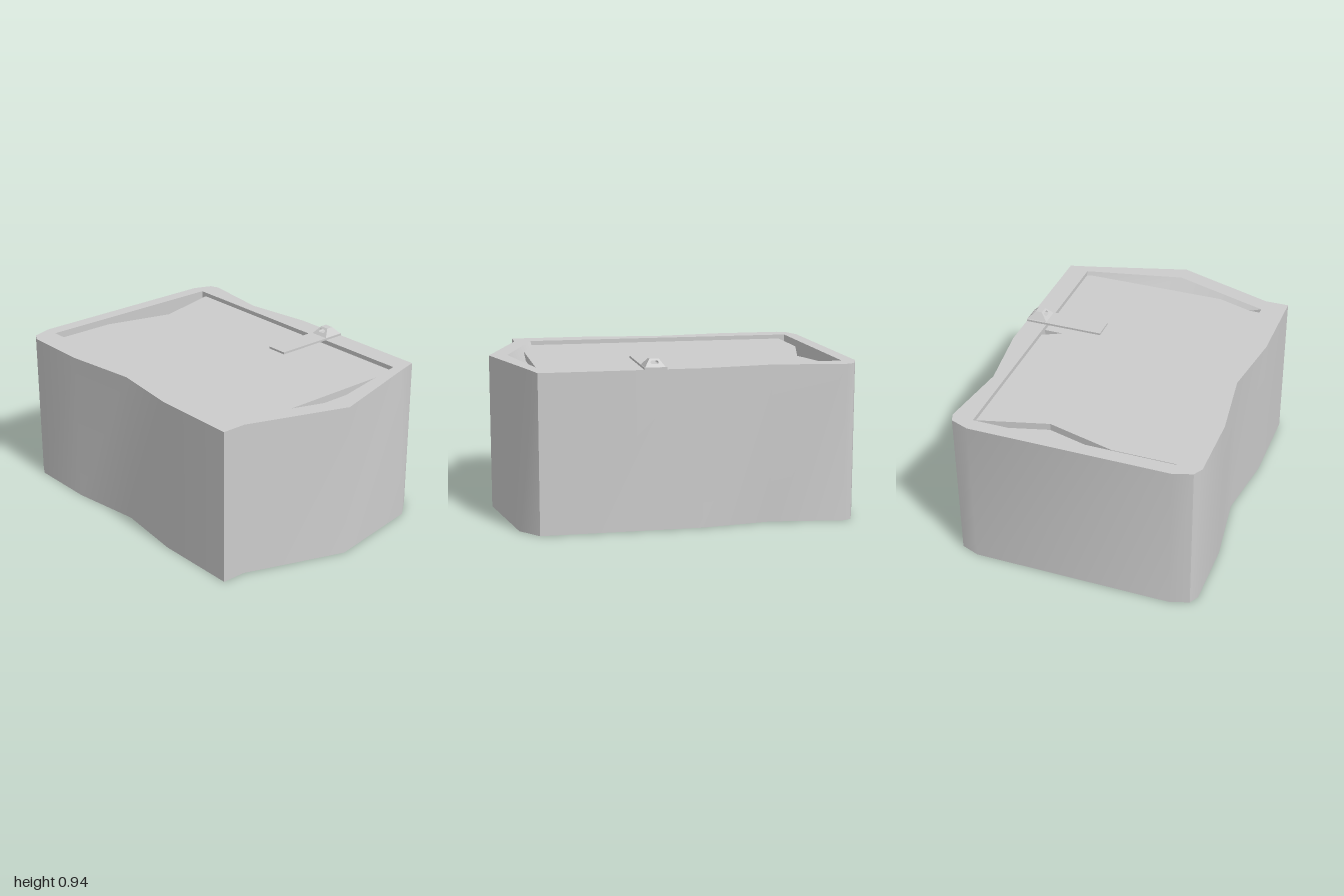
import * as THREE from 'three';
import { toCreasedNormals } from 'three/addons/utils/BufferGeometryUtils.js';

const TOP = 0.89, FLOOR = 0.69, PANEL = 0.865;
const material = new THREE.MeshStandardMaterial({ color: 0xcccccc });

// Outlines are [x, z] points; shapes use -z so that they can be laid flat facing up.
const flat = (pts) => pts.map(([x, z]) => new THREE.Vector2(x, -z));

function addPart(group, name, geometry) {
  const mesh = new THREE.Mesh(geometry, material);
  mesh.name = name;
  group.add(mesh);
  return mesh;
}

// Wall between two outlines with the same number of points
function loft(lower, y0, upper, y1) {
  const pos = [];
  lower.forEach((p, i) => {
    const j = (i + 1) % lower.length;
    const a = [p[0], y0, p[1]], b = [lower[j][0], y0, lower[j][1]];
    const c = [upper[j][0], y1, upper[j][1]], d = [upper[i][0], y1, upper[i][1]];
    pos.push(...a, ...b, ...c, ...a, ...c, ...d);
  });
  const g = new THREE.BufferGeometry();
  g.setAttribute('position', new THREE.Float32BufferAttribute(pos, 3));
  return toCreasedNormals(g, 0.62);
}

// Horizontal face, looking up
function sheet(pts, y, hole) {
  const shape = new THREE.Shape(flat(pts));
  if (hole) shape.holes.push(new THREE.Path(flat(hole)));
  return new THREE.ShapeGeometry(shape).rotateX(-Math.PI / 2).translate(0, y, 0);
}

export function createModel() {
  const model = new THREE.Group();
  model.name = 'lidded box';

  // Wavy outer outline; the front corner leans back towards the top
  const base = [
    [-0.71, 0.8], [-0.57, 0.8], [0, 1], [0.58, 0.9], [0.705, 0.8],
    [0.705, -0.1], [0.65, -0.5], [0.705, -0.91], [0.685, -0.96], [0.58, -1],
    [-0.57, -1], [-0.68, -0.965], [-0.71, -0.91], [-0.71, -0.52], [-0.655, -0.1], [-0.71, 0.31],
  ];
  const brim = base.map((p, i) => (i === 3 ? [0.58, 0.832] : p));
  addPart(model, 'outerWall', loft(base, 0, brim, TOP));
  addPart(model, 'underside', sheet(base.map(([x, z]) => [x, -z]), 0).rotateX(Math.PI));

  // Opening with sloped front walls and a floor
  const opening = [[-0.57, -0.92], [0.58, -0.92], [0.58, 0.77], [0, 0.895], [-0.57, 0.7]];
  const floor = [[-0.57, -0.92], [0.58, -0.92], [0.58, 0.7], [0, 0.7], [-0.57, 0.7]];
  addPart(model, 'rim', sheet(brim, TOP, opening));
  addPart(model, 'innerWall', loft(floor, FLOOR, opening, TOP));
  addPart(model, 'innerFloor', sheet(floor, FLOOR));

  // Lid panel set just below the rim, with a finger gap at the back and a notch by the latch
  const lid = [
    [-0.57, 0.7], [-0.37, 0.77], [0.58, 0.77], [0.58, 0.08], [0.47, 0.08], [0.58, 0.025],
    [0.58, -0.885], [0.19, -0.78], [-0.2, -0.885], [-0.57, -0.885],
  ];
  const thickness = 0.04;
  addPart(model, 'lidPanel', new THREE.ExtrudeGeometry(new THREE.Shape(flat(lid)), { depth: thickness, bevelEnabled: false })
    .rotateX(-Math.PI / 2).translate(0, PANEL - thickness, 0));

  // Latch: flat strap and a tapered, slotted knob
  const latch = new THREE.Group();
  latch.name = 'latch';
  model.add(latch);
  addPart(latch, 'latchStrap', new THREE.BoxGeometry(0.465, 0.012, 0.125).translate(0.4725, TOP + 0.006, 0.1625));

  const height = 0.043;
  const profile = new THREE.Shape([[-0.057, 0], [0.057, 0], [0.026, height], [-0.026, height]]
    .map(([x, y]) => new THREE.Vector2(x, y)));
  const slot = new THREE.Path();
  slot.absarc(0.014, 0.025, 0.008, -Math.PI / 2, Math.PI / 2);
  slot.absarc(-0.014, 0.025, 0.008, Math.PI / 2, Math.PI * 1.5);
  profile.holes.push(slot);
  const knob = new THREE.ExtrudeGeometry(profile, { depth: 1, bevelEnabled: false, curveSegments: 8 })
    .translate(0, 0, -0.5).rotateY(Math.PI / 2);
  const p = knob.attributes.position;
  for (let i = 0; i < p.count; i++) {
    const half = THREE.MathUtils.lerp(0.061, 0.02, p.getY(i) / height);
    p.setX(i, Math.sign(p.getX(i)) * half);
  }
  knob.computeVertexNormals();
  addPart(latch, 'latchKnob', knob).position.set(0.643, TOP + 0.011, 0.165);

  return model;
}
